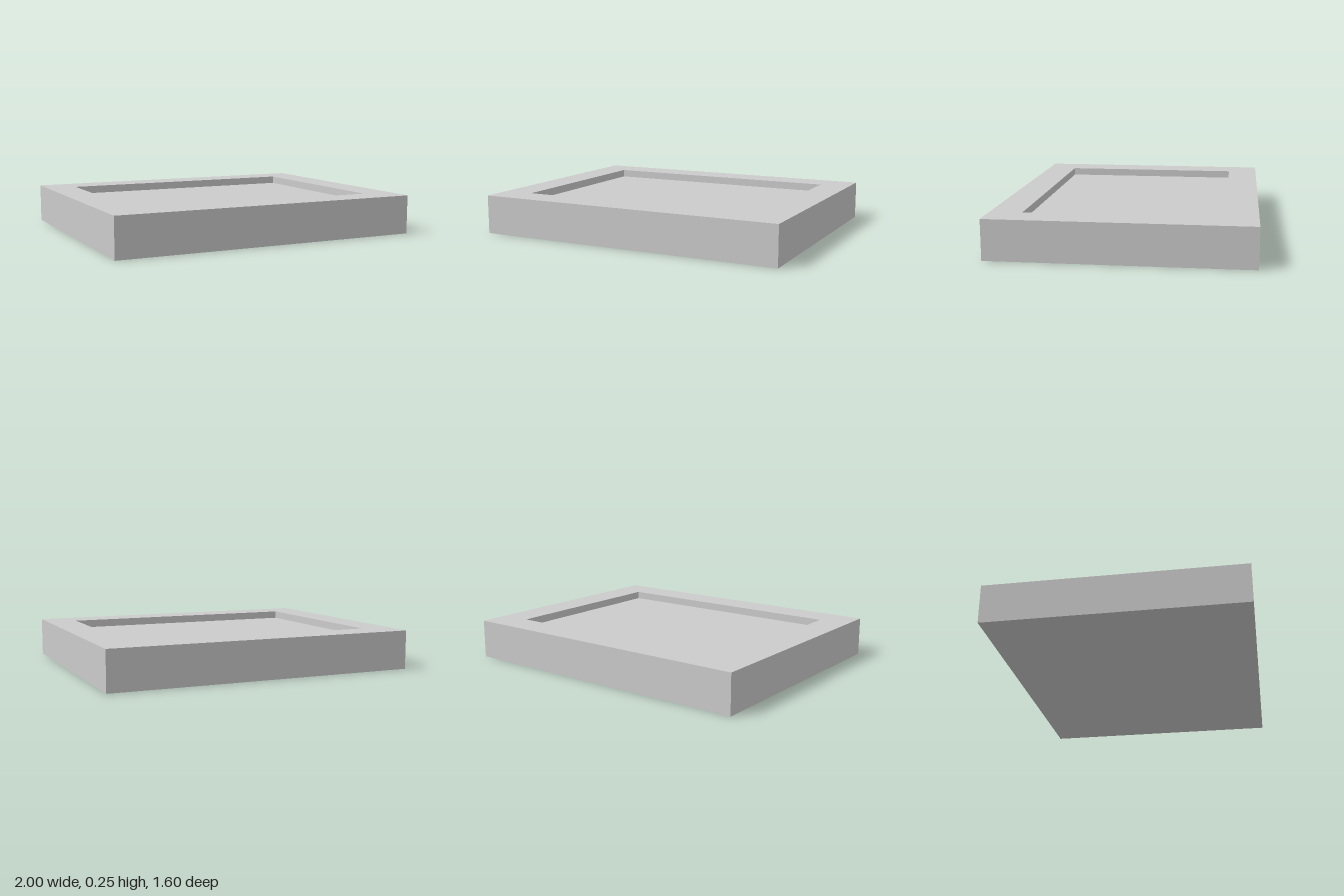
import * as THREE from 'three';

// Rectangular sections from the underside, up and over the rim, down to the recess floor
const sections = [
  { halfX: 1.0, halfZ: 0.8, y: 0 },
  { halfX: 1.0, halfZ: 0.8, y: 0.25 },
  { halfX: 0.8, halfZ: 0.6, y: 0.25 },
  { halfX: 0.8, halfZ: 0.6, y: 0.2 },
];

// Corners run counter-clockwise seen from above
const corners = ({ halfX, halfZ, y }) =>
  [[1, 1], [1, -1], [-1, -1], [-1, 1]].map(([sx, sz]) => [sx * halfX, y, sz * halfZ]);

function createTrayGeometry() {
  const rings = sections.map(corners);
  const positions = [];
  const quad = (a, b, c, d) => positions.push(...a, ...b, ...c, ...a, ...c, ...d);

  // Outer walls, rim and recess walls
  for (let r = 0; r < rings.length - 1; r++) {
    for (let i = 0; i < 4; i++) {
      const j = (i + 1) % 4;
      quad(rings[r][i], rings[r][j], rings[r + 1][j], rings[r + 1][i]);
    }
  }
  // Underside and recess floor
  quad(...[...rings[0]].reverse());
  quad(...rings[rings.length - 1]);

  const geometry = new THREE.BufferGeometry();
  geometry.setAttribute('position', new THREE.Float32BufferAttribute(positions, 3));
  geometry.computeVertexNormals();
  return geometry;
}

export function createModel() {
  const group = new THREE.Group();
  group.name = 'recessedTray';
  const material = new THREE.MeshStandardMaterial({ color: 0xcccccc, flatShading: true });
  const tray = new THREE.Mesh(createTrayGeometry(), material);
  tray.name = 'trayBody';
  group.add(tray);
  return group;
}
